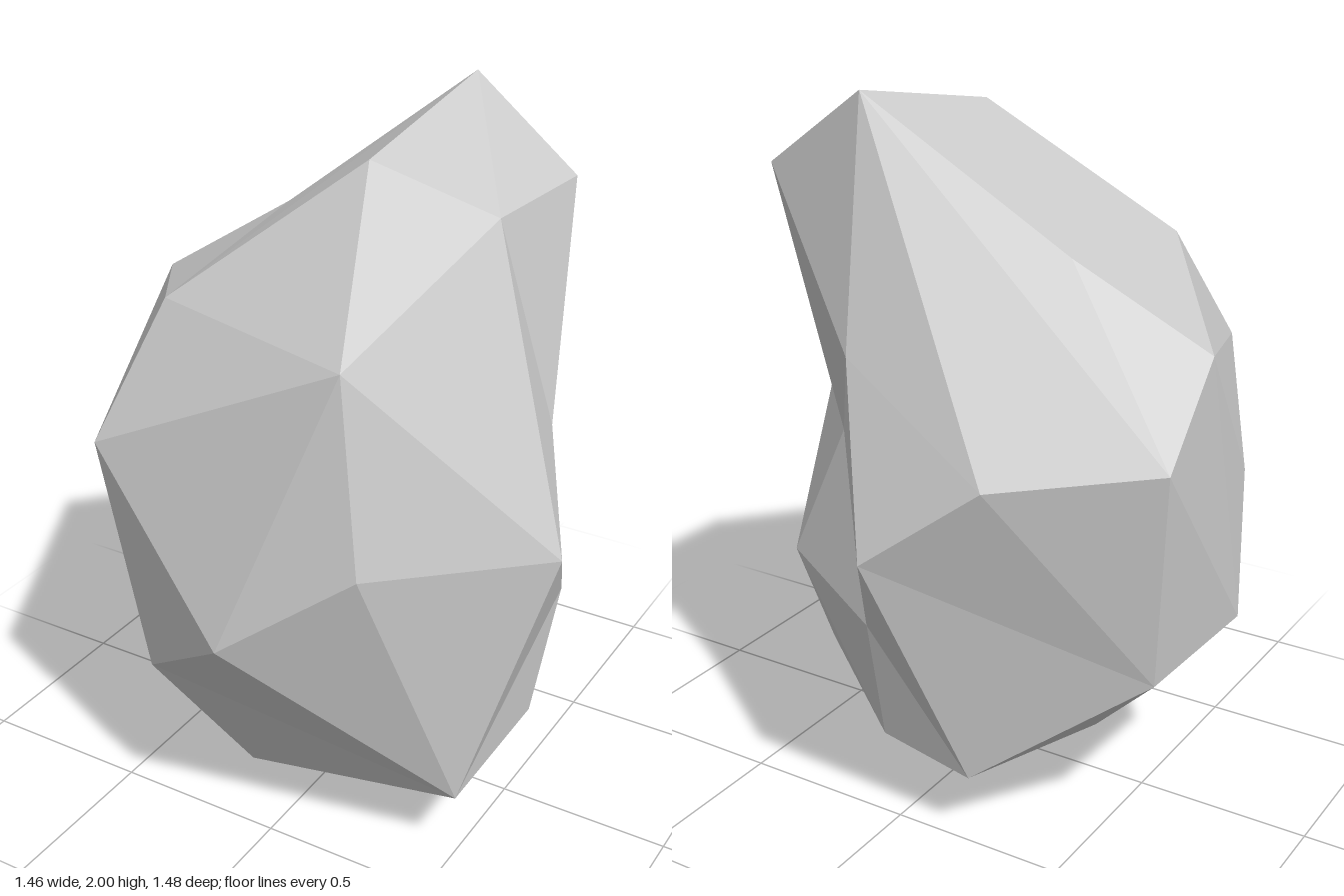
import * as THREE from 'three';

// Corner points of the boulder, keyed by a single letter
const corners = {
  // crown
  A: [0.115, 2, -0.44], B: [0.1, 1.9, 0.12], C: [0.435, 1.785, 0.05], a: [0.45, 1.775, -0.38],
  Z: [-0.375, 1.6, -0.24], D: [0.28, 1.53, 0.565], E: [-0.355, 1.53, 0.39],
  // shoulders
  F: [-0.72, 1.375, -0.13], Y: [0.05, 1.375, -0.615], R: [0.57, 1.215, -0.03],
  G: [-0.44, 1.185, 0.615], b: [-0.73, 1.14, -0.375], c: [-0.36, 1.11, -0.645],
  // waist
  H: [0.36, 1.01, 0.625], S: [0.38, 0.98, -0.2], J: [0.727, 0.975, 0.22],
  K: [-0.675, 0.945, 0.21], T: [-0.055, 0.88, -0.735], I: [0.005, 0.75, 0.74],
  // lower body
  V: [0.06, 0.6, -0.55], U: [0.54, 0.585, -0.24], L: [-0.727, 0.56, 0.095],
  M: [-0.32, 0.51, 0.59], d: [-0.67, 0.51, -0.295],
  // foot
  X: [0.52, 0.235, -0.1], e: [0.06, 0.235, -0.48], N: [0.517, 0.225, 0.36],
  W: [-0.23, 0.2, -0.505], Q: [-0.33, 0.125, 0.03], P: [-0.15, 0.1, 0.36], O: [0.215, 0, -0.14],
};

// Each fan is a hub corner followed by its neighbours, counter-clockwise from outside
const fans = [
  'ABCaYcbZEB', // peak
  'DCBEGIHJC',  // front face
  'MGKLQPNIG',  // lower front
  'SRJUVTYaR',  // hollow in the side
  'FEZbLKGE',   // opposite shoulder
  'ONPQWeXN',   // underside
  'dLbcTWQL',   // lower back
  'NXUJHI', 'RaCJ', 'eWVUX', 'TVW', 'TcY', // facets between the fans
];

function createFacets() {
  const positions = [];
  for (const [hub, ...rim] of fans) {
    for (let i = 0; i < rim.length - 1; i++) {
      positions.push(...corners[hub], ...corners[rim[i]], ...corners[rim[i + 1]]);
    }
  }
  const geometry = new THREE.BufferGeometry();
  geometry.setAttribute('position', new THREE.Float32BufferAttribute(positions, 3));
  geometry.computeVertexNormals();
  return geometry;
}

export function createModel() {
  const group = new THREE.Group();
  group.name = 'rock';
  const material = new THREE.MeshStandardMaterial({ color: 0xcccccc, flatShading: true });
  const boulder = new THREE.Mesh(createFacets(), material);
  boulder.name = 'boulder';
  group.add(boulder);
  return group;
}
